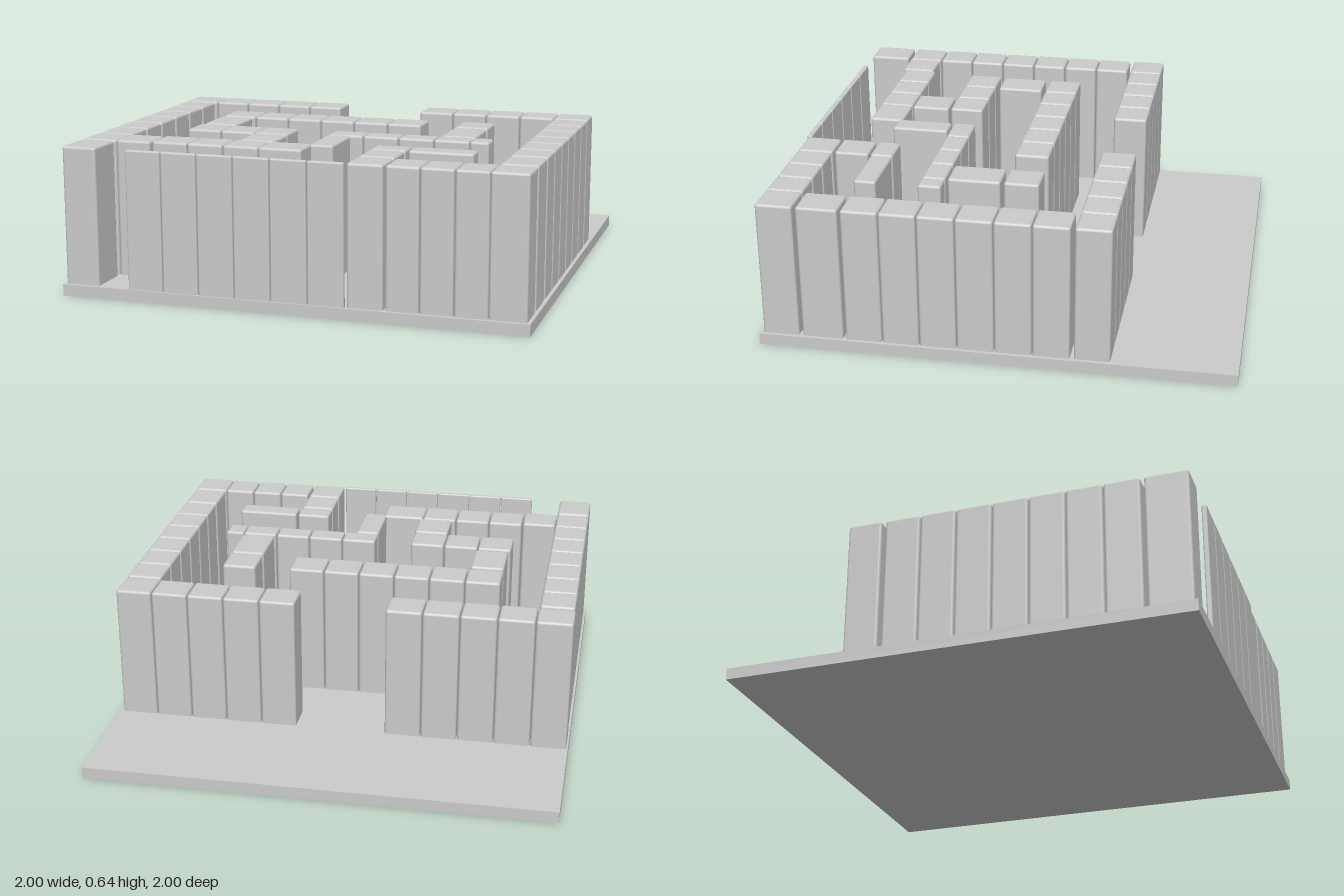
import * as THREE from 'three';
import { RoundedBoxGeometry } from 'three/addons/geometries/RoundedBoxGeometry.js';

const BASE = 0.05, TOP = 0.64;

export function createModel() {
  const model = new THREE.Group();
  model.name = 'walledMaze';
  const material = new THREE.MeshStandardMaterial({ color: 0xcccccc });

  // Ground slab
  const slab = new THREE.Mesh(new THREE.BoxGeometry(2, BASE, 2), material);
  slab.name = 'baseSlab';
  slab.position.y = BASE / 2;
  model.add(slab);

  // One softly bevelled block, its foot slightly sunk into the slab
  function block(group, x0, x1, z0, z1) {
    const w = x1 - x0, d = z1 - z0, foot = BASE - 0.02, h = TOP - foot;
    const r = Math.min(0.012, w * 0.3, d * 0.3);
    const mesh = new THREE.Mesh(new RoundedBoxGeometry(w, h, d, 2, r), material);
    mesh.name = group.name + 'Block';
    mesh.position.set((x0 + x1) / 2, foot + h / 2, (z0 + z1) / 2);
    group.add(mesh);
  }

  function section(name) {
    const group = new THREE.Group();
    group.name = name;
    model.add(group);
    return group;
  }

  // Rows of n equal blocks along x or z, with narrow joints
  const GAP = 0.004;
  function rowX(group, x0, x1, n, z0, z1) {
    const s = (x1 - x0) / n;
    for (let i = 0; i < n; i++) block(group, x0 + i * s + GAP / 2, x0 + (i + 1) * s - GAP / 2, z0, z1);
  }
  function rowZ(group, z0, z1, n, x0, x1) {
    const s = (z1 - z0) / n;
    for (let i = 0; i < n; i++) block(group, x0, x1, z0 + i * s + GAP / 2, z0 + (i + 1) * s - GAP / 2);
  }

  // Back wall, with the entrance gap in the middle
  const back = section('backWall');
  rowX(back, -0.995, -0.2, 5, -0.48, -0.33);
  rowX(back, 0.19, 0.985, 5, -0.48, -0.33);

  // Side walls
  const right = section('rightWall');
  rowZ(right, -0.315, 0.787, 7, -0.99, -0.84);
  block(right, -0.99, -0.84, 0.8, 0.985);
  const left = section('leftWall');
  rowZ(left, -0.315, 0.63, 6, 0.83, 0.985);
  block(left, 0.83, 0.985, 0.64, 0.815);

  // Front wall: thin panels, then full blocks
  const front = section('frontWall');
  rowX(front, -0.703, 0.243, 6, 0.97, 0.993);
  block(front, 0.25, 0.4, 0.83, 0.985);
  rowX(front, 0.408, 0.83, 3, 0.83, 0.985);
  block(front, 0.83, 0.985, 0.83, 0.985);

  // Inner walls
  const inner = section('innerWall');
  rowX(inner, -0.652, 0.297, 6, -0.11, 0.04);
  rowX(inner, -0.662, -0.193, 3, 0.285, 0.435);
  rowX(inner, -0.682, -0.203, 3, 0.62, 0.77);
  rowX(inner, -0.027, 0.602, 4, 0.28, 0.38);
  [
    [-0.65, -0.5, 0.06, 0.265],
    [-0.345, -0.19, 0.445, 0.615],
    [-0.838, -0.685, 0.635, 0.785],
    [-0.203, -0.015, 0.62, 0.77],
    [-0.025, 0.08, 0.39, 0.64],
    [0.602, 0.685, 0.28, 0.38],
    [0.45, 0.6, -0.12, 0.03],
    [0.45, 0.6, 0.045, 0.27],
    [0.25, 0.4, 0.56, 0.66],
    [0.25, 0.4, 0.67, 0.82],
    [0.41, 0.685, 0.56, 0.655],
  ].forEach((b) => block(inner, ...b));

  return model;
}
